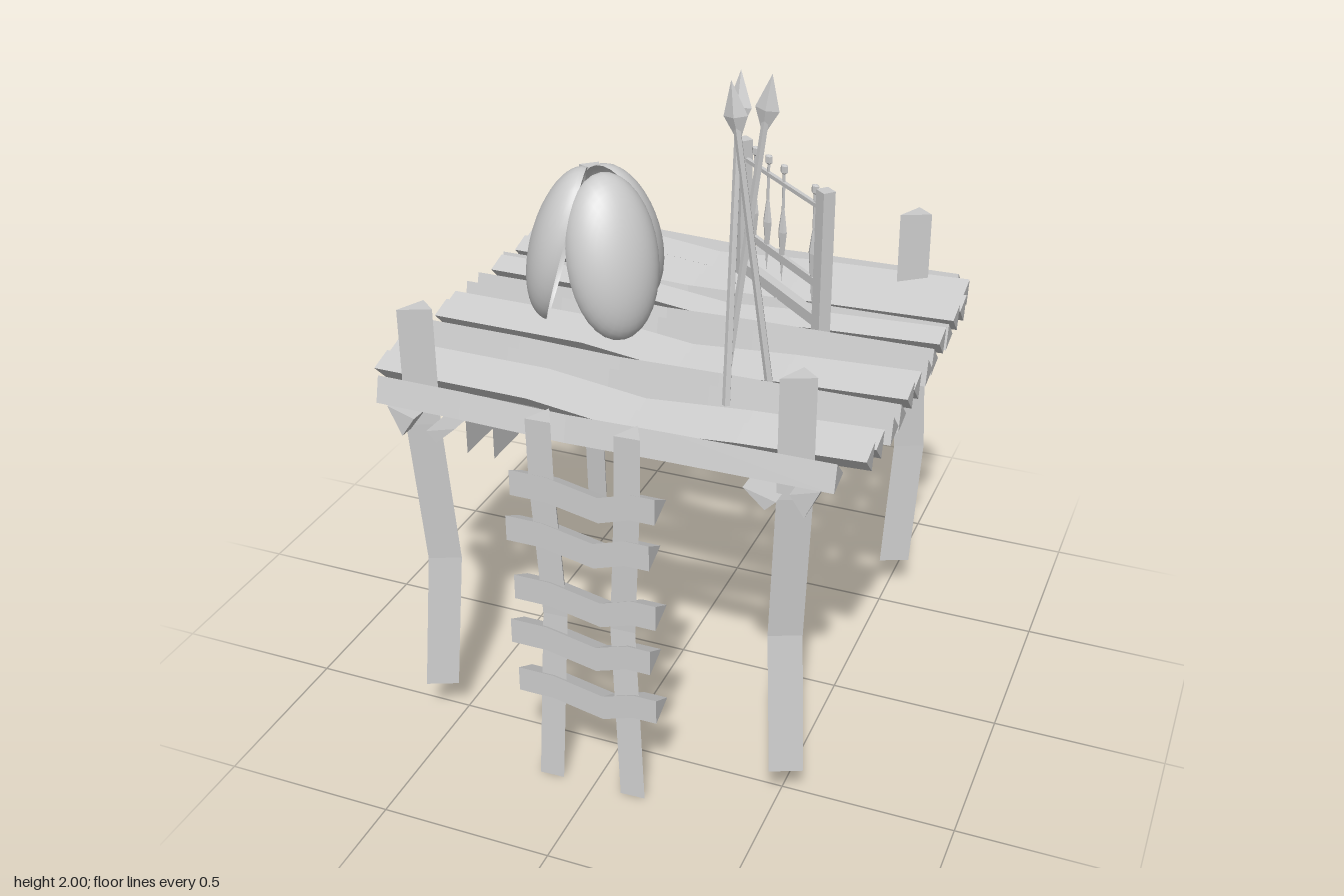
import * as THREE from 'three';

const V = (x, y, z) => new THREE.Vector3(x, y, z);
const X = V(1, 0, 0), Y = V(0, 1, 0), Z = V(0, 0, 1);
const flat = new THREE.MeshStandardMaterial({ color: 0xcccccc, flatShading: true });
const smooth = new THREE.MeshStandardMaterial({ color: 0xcccccc, side: THREE.DoubleSide });
const thin = new THREE.MeshStandardMaterial({ color: 0xcccccc, flatShading: true, side: THREE.DoubleSide });

// Capped prism: a section in the (u, v) plane swept along a list of points
function sweep(path, section, u, v) {
  const t = path[path.length - 1].clone().sub(path[0]);
  const hand = u.clone().cross(v).dot(t) * THREE.ShapeUtils.area(section.map(([x, y]) => new THREE.Vector2(x, y)));
  const s = hand < 0 ? [...section].reverse() : section;
  const rings = path.map(p => s.map(([a, b]) => p.clone().addScaledVector(u, a).addScaledVector(v, b)));
  const pts = [], n = s.length, last = rings.length - 1;
  for (let i = 0; i < last; i++) {
    for (let j = 0; j < n; j++) {
      const k = (j + 1) % n, a = rings[i], b = rings[i + 1];
      pts.push(a[j], a[k], b[k], a[j], b[k], b[j]);
    }
  }
  for (let j = 1; j < n - 1; j++) {
    pts.push(rings[0][0], rings[0][j + 1], rings[0][j]);
    pts.push(rings[last][0], rings[last][j], rings[last][j + 1]);
  }
  const g = new THREE.BufferGeometry().setFromPoints(pts);
  g.computeVertexNormals();
  return g;
}

function add(parent, name, geometry, material = flat) {
  const m = new THREE.Mesh(geometry, material);
  m.name = name;
  parent.add(m);
  return m;
}

function subgroup(parent, name) {
  const g = new THREE.Group();
  g.name = name;
  parent.add(g);
  return g;
}

// Bent three-sided deck planks; "up" planks show a ridge, the others a flat face
function buildDeck(root) {
  const deck = subgroup(root, 'deck');
  const ridge = [[-0.037, 0], [0.018, 0.054], [0.037, -0.021]];
  const slab = [[-0.037, 0.021], [0.037, 0], [-0.018, -0.054]];
  const planks = [
    [-0.645, 1, 0.655], [-0.565, 0, 0.695], [-0.45, 0, 0.713], [-0.38, 0, 0.71], [-0.29, 1, 0.713],
    [-0.215, 0, 0.71], [-0.12, 1, 0.713], [-0.05, 1, 0.715], [0.08, 0, 0.715], [0.14, 0, 0.713],
    [0.23, 1, 0.715], [0.305, 1, 0.715], [0.43, 0, 0.71], [0.5, 0, 0.705], [0.59, 1, 0.65],
  ];
  for (const [z, up, half] of planks) {
    const y = up ? 1.097 : 1.129, bend = up ? -0.022 : 0.03;
    const kink = !up && z > -0.3 ? 0.06 : -0.1;
    const path = [[-half, 0], [kink - 0.3, 0.1], [kink, 1], [kink + 0.3, 0.4], [half, 0]]
      .map(([x, f]) => V(x, y - 0.022 * f, z + bend * f));
    add(deck, 'plank', sweep(path, up ? ridge : slab, Z, Y));
  }
}

// Paired beams under the deck
function buildBeams(root) {
  const beams = subgroup(root, 'beams');
  const path = [[0.63, 0], [0.1, -0.025], [-0.13, -0.035], [-0.42, 0], [-0.69, 0]].map(([z, y]) => V(0, y, z));
  const outer = [[0.615, 1.075], [0.575, 0.99], [0.535, 1.05]];
  const inner = [[0.5, 1.02], [0.41, 1.045], [0.465, 1.08], [0.47, 0.99]].filter((_, i) => i !== 2);
  for (const side of [-1, 1]) {
    for (const s of [outer, inner]) {
      add(beams, 'beam', sweep(path, s.map(([x, y]) => [x * side, y]), X, Y));
    }
  }
}

// Crooked three-sided corner posts
function buildLegs(root) {
  const legs = subgroup(root, 'legs');
  const rows = [
    [-0.545, 0.55, 0.02, -0.033, 1], [0.53, 0.55, -0.025, -0.033, 1],
    [-0.545, -0.585, -0.018, -0.018, -1], [0.525, -0.585, 0.02, -0.018, 1],
  ];
  for (const [x, z, dx, dz, d] of rows) {
    const path = [[0.12, 0], [0.55, 1], [1, 0.05], [1.35, 0]].map(([y, f]) => V(x + dx * f, y, z + dz * f));
    const s = [[-0.005 * d, -0.042], [0.045 * d, 0.002], [-0.042 * d, 0.04]];
    add(legs, 'leg', sweep(path, s, X, Z));
  }
}

function buildLadder(root) {
  const ladder = subgroup(root, 'ladder');
  const rail = [[0, -0.035], [0.036, 0.035], [-0.036, 0.038]];
  for (const [x, dx] of [[-0.13, 0.022], [0.12, -0.028]]) {
    const path = [[0, 0], [0.55, 1], [0.95, 0.15], [1.16, 0]].map(([y, f]) => V(x + dx * f, y, 0.657 - 0.016 * f));
    add(ladder, 'ladderRail', sweep(path, rail, X, Y.clone().cross(X).negate()));
  }
  const tri = [[0.035, 0.04], [0.035, -0.037], [-0.045, -0.005]];
  [0.955, 0.81, 0.625, 0.475, 0.315].forEach((y, i) => {
    const shift = i % 2 ? -0.012 : 0.005;
    const path = [[-0.225, 0], [-0.12, 0], [0.03, -0.03], [0.12, 0], [0.19, 0]].map(([x, f]) => V(x + shift, y + f, 0.66));
    add(ladder, 'rung', sweep(path, tri, Z, Y));
  });
}

// Cloth hanging from the side beams
function buildCloth(root) {
  for (const x of [-0.62, -0.53]) {
    const m = add(root, 'hangingCloth', new THREE.PlaneGeometry(0.375, 0.355), thin);
    m.rotation.y = -Math.PI / 2;
    m.position.set(x, 0.8725, 0.0125);
  }
}

// Three domed oval shields leaning together
function buildShields(root) {
  const shields = subgroup(root, 'shields');
  for (const deg of [-72, 164, 41]) {
    const a = THREE.MathUtils.degToRad(deg);
    const pivot = subgroup(shields, 'shield');
    pivot.position.set(-0.245, 1.37, 0.04);
    pivot.rotation.y = Math.PI / 2 - a;
    const dome = new THREE.SphereGeometry(1, 32, 12, 0, Math.PI * 2, 0, Math.PI / 2);
    dome.rotateX(Math.PI / 2).scale(0.138, 0.24, 0.105);
    const m = add(pivot, 'shieldShell', dome, smooth);
    m.position.z = 0.09;
    m.rotation.x = -0.26;
  }
}

// Three spears crossed into a tripod
function buildSpears(root) {
  const rows = [
    [V(0.2, 1.06, 0.197), V(0.32, 1.99, 0.2)],
    [V(0.255, 1.1, 0.33), V(0.245, 2, 0.225)],
    [V(0.342, 1.1, 0.22), V(0.235, 1.985, 0.27)],
  ];
  for (const [foot, tip] of rows) {
    const spear = subgroup(root, 'spear');
    const length = foot.distanceTo(tip);
    spear.position.copy(foot);
    spear.quaternion.setFromUnitVectors(Y, tip.clone().sub(foot).normalize());
    add(spear, 'spearShaft', new THREE.CylinderGeometry(0.01, 0.012, length - 0.1, 5)).position.y = (length - 0.1) / 2;
    const profile = [[0, -0.17], [0.033, -0.095], [0, 0]].map(([x, y]) => new THREE.Vector2(x, y));
    const head = add(spear, 'spearHead', new THREE.LatheGeometry(profile, 4));
    head.position.y = length;
    head.scale.z = 0.5;
  }
}

// Frame with hanging blades
function buildRack(root) {
  const rack = subgroup(root, 'rack');
  rack.position.set(0.192, 0, -0.298);
  rack.rotation.y = -0.725;
  for (const x of [-0.236, 0.236]) {
    add(rack, 'rackPost', new THREE.BoxGeometry(0.042, 0.46, 0.038)).position.set(x, 1.33, 0);
  }
  for (const [y, h, d] of [[1.155, 0.035, 0.03], [1.265, 0.025, 0.012], [1.5, 0.012, 0.012]]) {
    add(rack, 'rackRail', new THREE.BoxGeometry(0.44, h, d)).position.y = y;
  }
  const profile = [[0, 1.19], [0.017, 1.35], [0.006, 1.42], [0.006, 1.53], [0.014, 1.535], [0.014, 1.555], [0, 1.56]]
    .map(([x, y]) => new THREE.Vector2(x, y));
  for (const x of [-0.165, -0.085, 0.005, 0.18]) {
    const blade = add(rack, 'hangingBlade', new THREE.LatheGeometry(profile, 6));
    blade.position.x = x;
    blade.scale.z = 0.7;
  }
}

export function createModel() {
  const root = new THREE.Group();
  root.name = 'lookoutPlatform';
  for (const build of [buildDeck, buildBeams, buildLegs, buildLadder, buildCloth, buildShields, buildSpears, buildRack]) {
    build(root);
  }
  return root;
}
